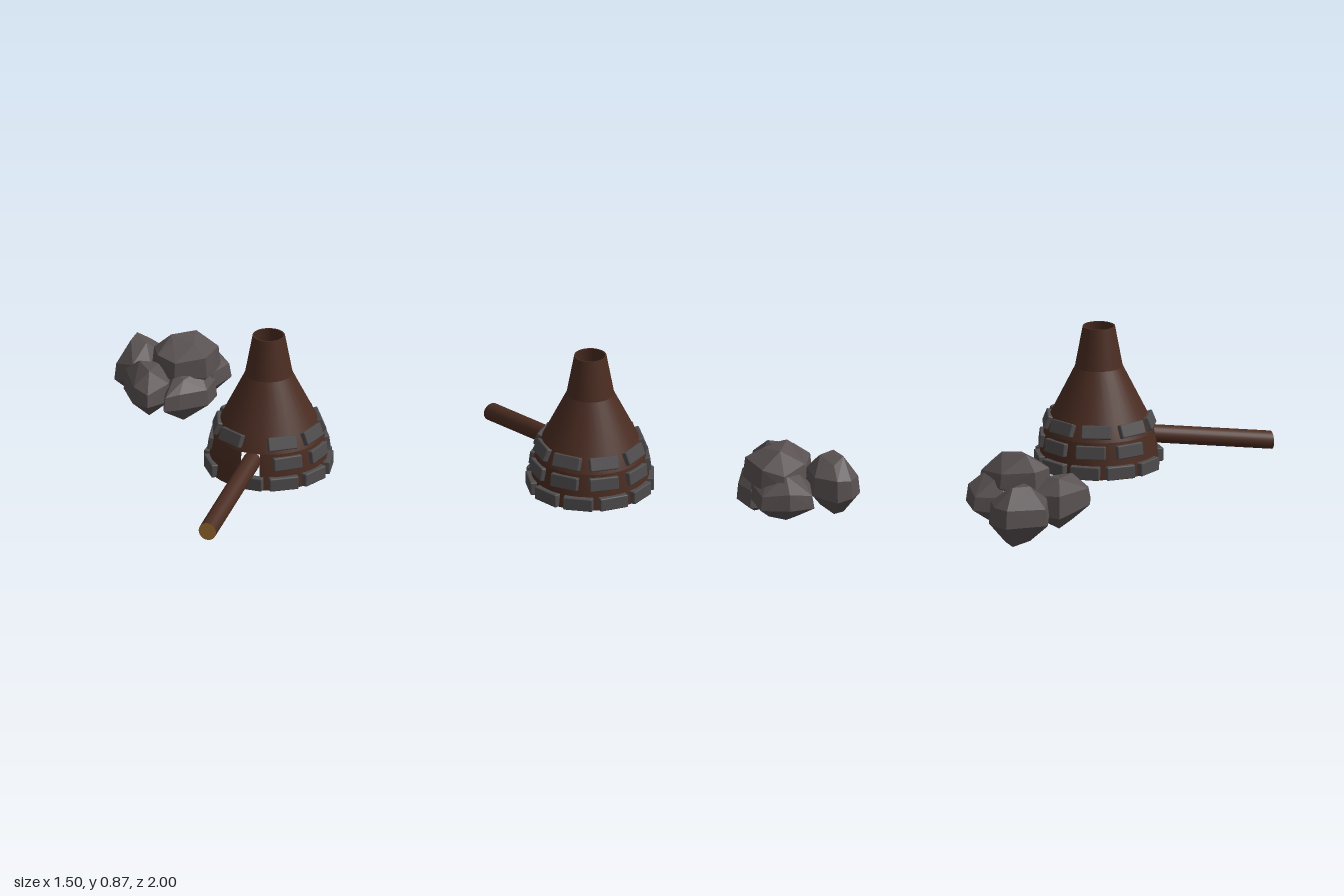
import * as THREE from 'three';
import { RoundedBoxGeometry } from 'three/addons/geometries/RoundedBoxGeometry.js';
import { ConvexGeometry } from 'three/addons/geometries/ConvexGeometry.js';

function material(name, color, options = {}) {
  const m = new THREE.MeshStandardMaterial({ color, ...options });
  m.name = name;
  return m;
}

function mesh(name, geometry, mat, parent) {
  const m = new THREE.Mesh(geometry, mat);
  m.name = name;
  parent.add(m);
  return m;
}

// Small seeded generator for the rock shapes
function seeded(seed) {
  return () => {
    seed = (seed * 16807) % 2147483647;
    return seed / 2147483647;
  };
}

// Faceted boulder: hull of shrinking, slightly uneven rings of one footprint
function rockGeometry(footprint, bottom, top, seed) {
  const random = seeded(seed);
  const n = footprint.length;
  const cx = footprint.reduce((sum, p) => sum + p[0], 0) / n;
  const cz = footprint.reduce((sum, p) => sum + p[1], 0) / n;
  const rings = [[0, 0.42], [0.36, 1], [0.68, 0.93], [1, 0.42]];
  const points = [];
  rings.forEach(([level, scale], ring) => {
    footprint.forEach(([x, z], i) => {
      // the end rings keep every second corner for larger facets
      const end = ring === 0 || ring === 3;
      if (end && i % 2) return;
      const wobble = (random() - 0.5) * 0.14;
      const h = end ? level + (level ? -1 : 1) * (i ? random() * 0.1 : 0) : level + wobble;
      const y = bottom + (top - bottom) * h;
      points.push(new THREE.Vector3(cx + (x - cx) * scale, y, cz + (z - cz) * scale));
    });
  });
  return new ConvexGeometry(points);
}

export function createModel() {
  const model = new THREE.Group();
  model.name = 'kilnAndRocks';

  const clay = material('brown clay', 0x4a2c21, { side: THREE.DoubleSide });
  const brickGrey = material('brick grey', 0x4e4b4c);
  const stone = material('stone grey', 0x585051, { flatShading: true });
  const cutWood = material('cut wood', 0xa97736);

  const kiln = new THREE.Group();
  kiln.name = 'kiln';
  kiln.position.set(0.392, 0, 0.007);
  model.add(kiln);

  // Clay shell, one band per slope with a liner; the lowest band leaves the doorway
  const door = 0.185;
  const bands = [
    ['kilnWall', [[0.33, 0.09], [0.317, 0.2], [0.3, 0.29]], door],
    ['kilnShoulder', [[0.3, 0.29], [0.263, 0.38], [0.13, 0.645]], 0],
    ['chimney', [[0.13, 0.645], [0.088, 0.87]], 0],
  ];
  const thickness = 0.008;
  const band = (name, profile, gap) => {
    const points = profile.map(([r, y]) => new THREE.Vector2(r, y));
    mesh(name, new THREE.LatheGeometry(points, 32, gap, Math.PI * 2 - 2 * gap), clay, kiln);
  };
  for (const [name, profile, gap] of bands) {
    band(name, profile, gap);
    band(name + 'Liner', profile.map(([r, y]) => [r - thickness, y]), gap);
  }
  band('chimneyRim', [[0.088, 0.87], [0.088 - thickness, 0.87]], 0);
  band('baseRim', [[0.33 - thickness, 0.09], [0.33, 0.09]], door);

  // Brick courses: height, centre radius, inward tilt, first angle, spacing, count
  const courses = [
    [0.128, 0.324, 0, 0, 0.592, 10],
    [0.237, 0.303, 0.13, 0.68, 0.71, 7],
    [0.342, 0.273, 0.38, 0.61, 0.743, 8],
  ];
  const brick = new RoundedBoxGeometry(0.163, 0.075, 0.044, 1, 0.007);
  courses.forEach(([y, radius, tilt, start, step, count], row) => {
    const course = new THREE.Group();
    course.name = 'brickCourse' + (row + 1);
    kiln.add(course);
    for (let i = 0; i < count; i++) {
      const a = start + i * step;
      const b = mesh('brick', brick, brickGrey, course);
      b.position.set(radius * Math.sin(a), y, radius * Math.cos(a));
      b.rotation.set(-tilt, a, 0, 'YXZ');
    }
  });

  // Log rising into the doorway, sheared so its pale cut end stays upright
  const length = 0.725;
  const logGeometry = new THREE.CylinderGeometry(0.05, 0.05, length, 24);
  logGeometry.rotateX(Math.PI / 2);
  logGeometry.applyMatrix4(new THREE.Matrix4().set(1, 0, 0, 0, 0, 1, -0.152, 0, 0, 0, 1, 0, 0, 0, 0, 1));
  const log = mesh('log', logGeometry, [clay, cutWood, clay], kiln);
  log.position.set(0, 0.125 + 0.152 * length / 2, 0.993 - length / 2);

  // Pile of boulders: footprint corners (x, z), bottom and top height
  const rocks = new THREE.Group();
  rocks.name = 'rockPile';
  model.add(rocks);
  const boulders = [
    [[[-0.75, -0.93], [-0.67, -0.98], [-0.58, -0.97], [-0.5, -0.85], [-0.54, -0.7], [-0.63, -0.64], [-0.75, -0.69]], 0, 0.335],
    [[[-0.66, -0.59], [-0.53, -0.37], [-0.43, -0.33], [-0.36, -0.5], [-0.4, -0.68], [-0.53, -0.73]], 0.04, 0.32],
    [[[-0.53, -0.68], [-0.45, -0.86], [-0.27, -0.92], [-0.18, -0.82], [-0.19, -0.62], [-0.35, -0.54], [-0.47, -0.57]], 0.14, 0.435],
    [[[-0.49, -0.85], [-0.41, -1], [-0.26, -0.99], [-0.14, -0.88], [-0.18, -0.7], [-0.32, -0.62], [-0.45, -0.7]], 0.03, 0.33],
    [[[-0.44, -0.6], [-0.36, -0.4], [-0.29, -0.45], [-0.17, -0.59], [-0.17, -0.73], [-0.35, -0.8]], 0.01, 0.28],
  ];
  boulders.forEach(([footprint, bottom, top], i) => {
    mesh('boulder', rockGeometry(footprint, bottom, top, 101 + i * 977), stone, rocks);
  });

  return model;
}
